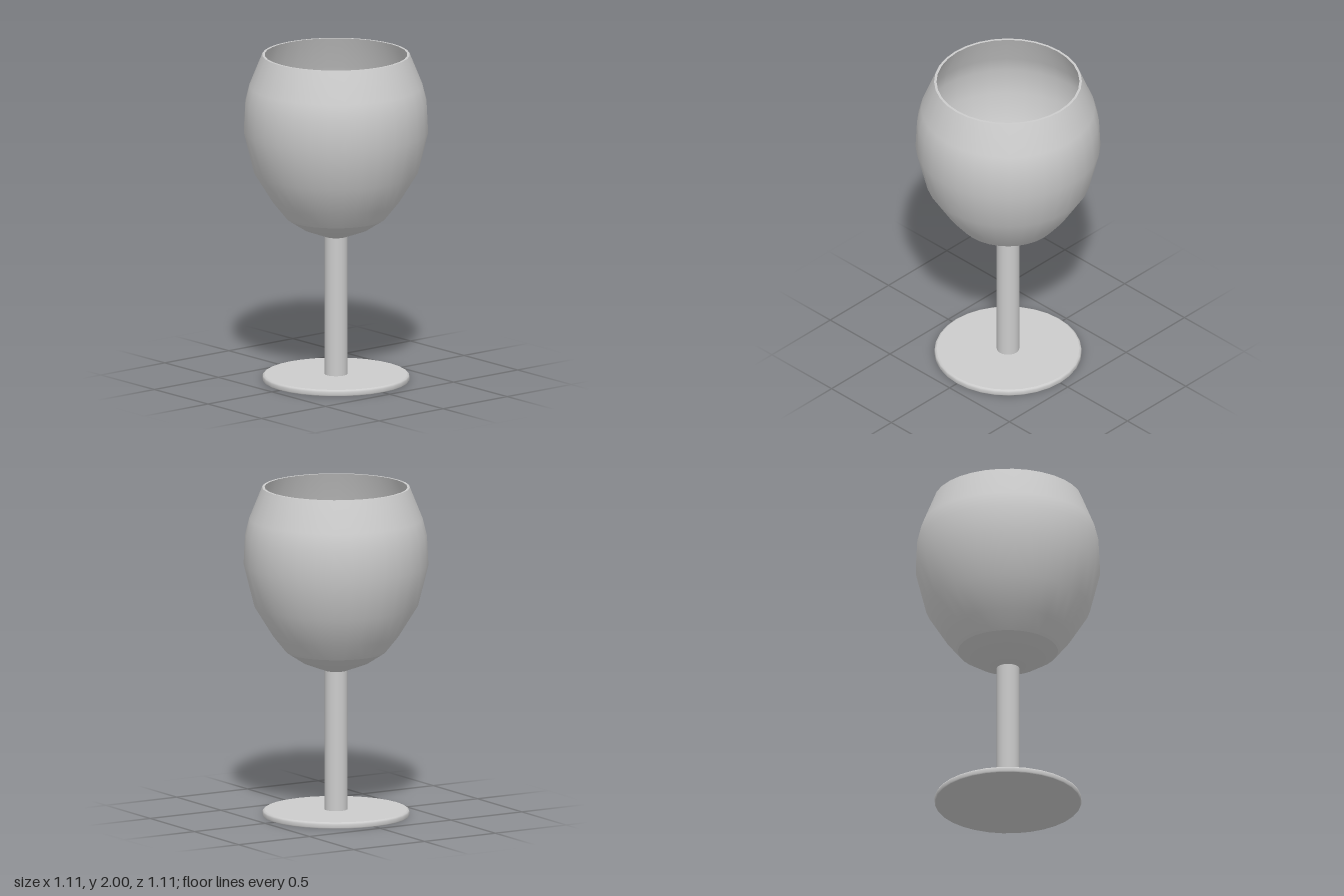
import * as THREE from 'three';

const SIDES = 32;

export function createModel() {
  const group = new THREE.Group();
  group.name = 'wineGlass';
  const material = new THREE.MeshStandardMaterial({ color: 0xcccccc });

  // Each lathe is smooth within itself; separate lathes meet at sharp edges.
  function addLathe(parent, name, profile) {
    const points = profile.map(([r, y]) => new THREE.Vector2(r, y));
    const mesh = new THREE.Mesh(new THREE.LatheGeometry(points, SIDES), material);
    mesh.name = name;
    parent.add(mesh);
  }

  function addPart(name) {
    const part = new THREE.Group();
    part.name = name;
    group.add(part);
    return part;
  }

  // Foot: thin disc with a small rounded edge
  const foot = addPart('foot');
  addLathe(foot, 'footUnderside', [[0, 0], [0.437, 0]]);
  addLathe(foot, 'footEdge', [[0.437, 0], [0.441, 0.006], [0.441, 0.024], [0.437, 0.032], [0.428, 0.037]]);
  addLathe(foot, 'footTop', [[0.428, 0.037], [0, 0.037]]);

  // Stem
  addLathe(group, 'stem', [[0.068, 0.037], [0.068, 0.887]]);

  // Bowl: rounded underside, swelling wall, narrow rim and hollow inside
  const bowl = addPart('bowl');
  addLathe(bowl, 'bowlUnderside', [[0.068, 0.885], [0.2, 0.935], [0.3, 1.0]]);
  addLathe(bowl, 'bowlOuterWall', [
    [0.3, 1.0], [0.38, 1.1], [0.492, 1.28], [0.554, 1.53],
    [0.545, 1.71], [0.52, 1.81], [0.443, 2.0],
  ]);
  addLathe(bowl, 'rim', [[0.443, 2.0], [0.428, 2.0]]);
  addLathe(bowl, 'bowlInnerWall', [
    [0.428, 2.0], [0.507, 1.805], [0.532, 1.705], [0.541, 1.53],
    [0.48, 1.285], [0.37, 1.107], [0.293, 1.01],
  ]);
  addLathe(bowl, 'bowlFloor', [[0.293, 1.01], [0.195, 0.947], [0.055, 0.895]]);
  addLathe(bowl, 'bowlFloorCentre', [[0.055, 0.895], [0, 0.895]]);

  return group;
}
